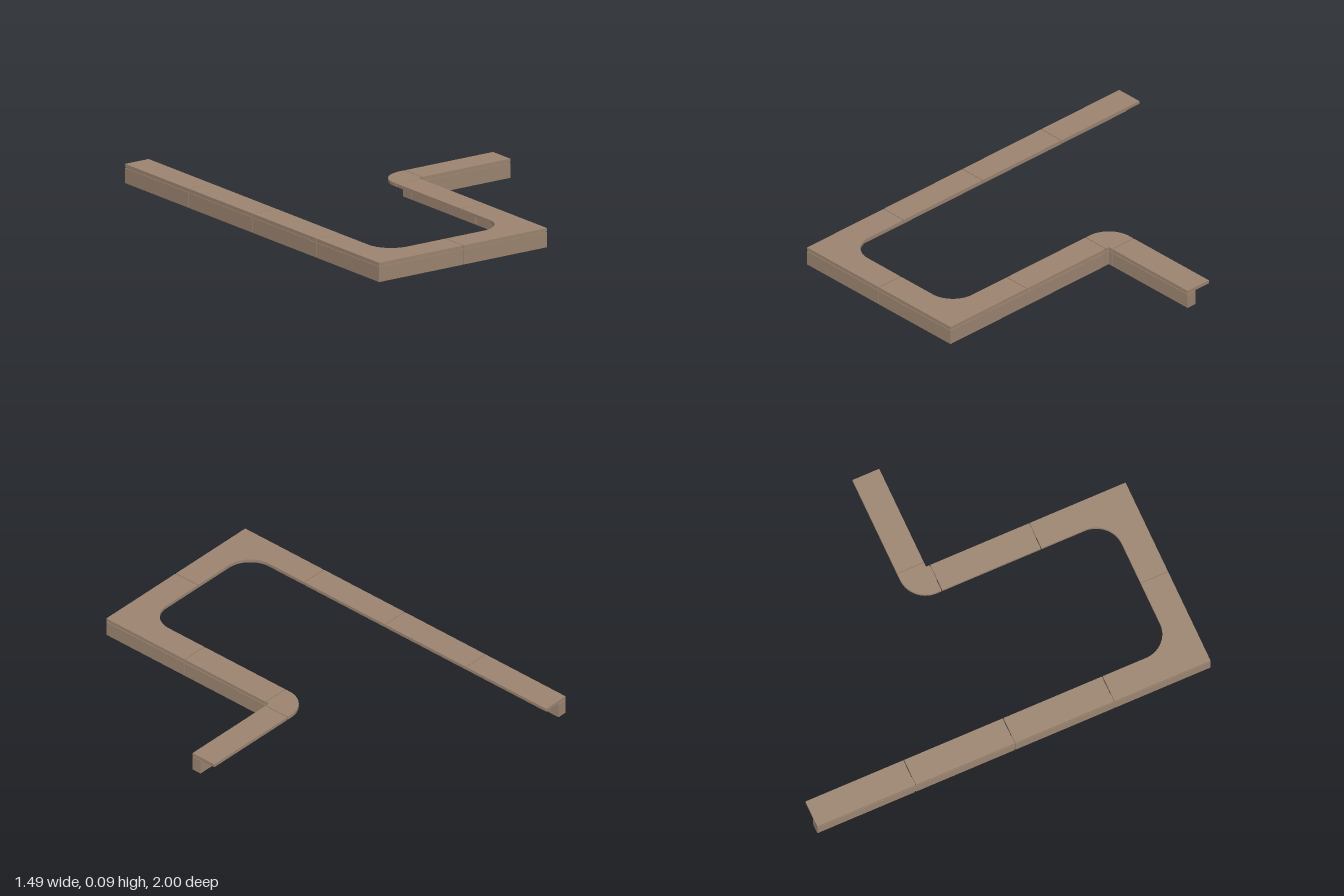
import * as THREE from 'three';

const LEG_TOP = 0.073, SLAB_BOTTOM = 0.077, TOP = 0.093;
const GAP = 0.002; // half of the joint between neighbouring pieces

export function createModel() {
  const model = new THREE.Group();
  model.name = 'counter';
  const wood = new THREE.MeshStandardMaterial({ color: 0x9c8470 });
  wood.name = 'brown wood';

  // Upright prism from a plan outline drawn in (x, z)
  function prism(name, shape, y0, y1) {
    const geo = new THREE.ExtrudeGeometry(shape, { depth: y1 - y0, bevelEnabled: false, curveSegments: 16 });
    geo.rotateX(Math.PI / 2).translate(0, y1, 0);
    const mesh = new THREE.Mesh(geo, wood);
    mesh.name = name;
    model.add(mesh);
  }

  // Mitred outline of constant width around a right-angled centre line
  function ribbon(path, half) {
    const normal = (a, b) => {
      const d = Math.hypot(b[0] - a[0], b[1] - a[1]);
      return [-(b[1] - a[1]) / d, (b[0] - a[0]) / d];
    };
    const left = [], right = [];
    path.forEach((p, i) => {
      let n = i ? normal(path[i - 1], p) : normal(p, path[1]);
      if (i && i < path.length - 1) {
        const m = normal(p, path[i + 1]);
        n = [n[0] + m[0], n[1] + m[1]];
      }
      left.push(new THREE.Vector2(p[0] + n[0] * half, p[1] + n[1] * half));
      right.unshift(new THREE.Vector2(p[0] - n[0] * half, p[1] - n[1] * half));
    });
    return new THREE.Shape([...left, ...right]);
  }

  function rect(x0, z0, x1, z1) {
    return new THREE.Shape([[x0, z0], [x1, z0], [x1, z1], [x0, z1]].map(p => new THREE.Vector2(...p)));
  }

  // Plan dimensions
  const xL = -0.747, xLi = -0.612, xM = -0.265, xRi = 0.081, xR = 0.217, xS = 0.24, xE = 0.747;
  const zFront = 1, zFi = 0.861, zA = 0.51, zB = 0.005, zC = -0.5, zBack = -1, zS = -0.015, zSb = -0.151;
  const r = 0.13;

  // Straight worktop slabs
  [
    ['leftBackTop', xL, zBack, xLi, zC - GAP],
    ['leftMiddleTop', xL, zC + GAP, xLi, zB - GAP],
    ['leftFrontTop', xL, zB + GAP, xLi, zA - GAP],
    ['rightTop', xRi, zB + GAP, xR, zA - GAP],
    ['endTop', xS + GAP, zSb, xE, zS]
  ].forEach(([name, ...b]) => prism(name, rect(...b), SLAB_BOTTOM, TOP));

  // Front corner slabs with rounded inner corners
  const cornerL = new THREE.Shape();
  cornerL.moveTo(xL, zA + GAP);
  cornerL.lineTo(xLi, zA + GAP);
  cornerL.absarc(xLi + r, zFi - r, r, Math.PI, Math.PI / 2, true);
  cornerL.lineTo(xM - GAP, zFi);
  cornerL.lineTo(xM - GAP, zFront);
  cornerL.lineTo(xL, zFront);
  prism('leftCornerTop', cornerL, SLAB_BOTTOM, TOP);

  const cornerR = new THREE.Shape();
  cornerR.moveTo(xR, zA + GAP);
  cornerR.lineTo(xRi, zA + GAP);
  cornerR.absarc(xRi - r, zFi - r, r, 0, Math.PI / 2, false);
  cornerR.lineTo(xM + GAP, zFi);
  cornerR.lineTo(xM + GAP, zFront);
  cornerR.lineTo(xR, zFront);
  prism('rightCornerTop', cornerR, SLAB_BOTTOM, TOP);

  // Back corner slab, rounded on its outside
  const bend = new THREE.Shape();
  bend.moveTo(xR, zB - GAP);
  bend.lineTo(xRi, zB - GAP);
  bend.absarc(xRi + r, zSb + r, r, Math.PI, Math.PI * 1.5, false);
  bend.lineTo(xS - GAP, zSb);
  bend.lineTo(xS - GAP, zS);
  bend.lineTo(xR, zS);
  prism('bendTop', bend, SLAB_BOTTOM, TOP);

  // Upright panels under the outer edge
  const h = 0.025;
  const cl = xL + h, cf = zFront - h, cr = xR - h, cs = zS - h;
  [
    ['leftBackPanel', [[cl, zBack], [cl, zC - GAP]]],
    ['leftMiddlePanel', [[cl, zC + GAP], [cl, zB - GAP]]],
    ['leftFrontPanel', [[cl, zB + GAP], [cl, zA - GAP]]],
    ['leftCornerPanel', [[cl, zA + GAP], [cl, cf], [xM - GAP, cf]]],
    ['rightCornerPanel', [[xM + GAP, cf], [cr, cf], [cr, zA + GAP]]],
    ['rightPanel', [[cr, zA - GAP], [cr, zB + GAP]]],
    ['bendPanel', [[cr, zB - GAP], [cr, cs], [xS - GAP, cs]]],
    ['endPanel', [[xS + GAP, cs], [xE, cs]]]
  ].forEach(([name, path]) => prism(name, ribbon(path, h), 0, LEG_TOP));

  // Recessed core that closes the joints and carries the slabs
  const run = [[cl, zBack + 0.003], [cl, cf], [cr, cf], [cr, cs], [xE - 0.003, cs]];
  prism('core', ribbon(run, h - 0.003), 0.003, SLAB_BOTTOM + 0.001);

  return model;
}
